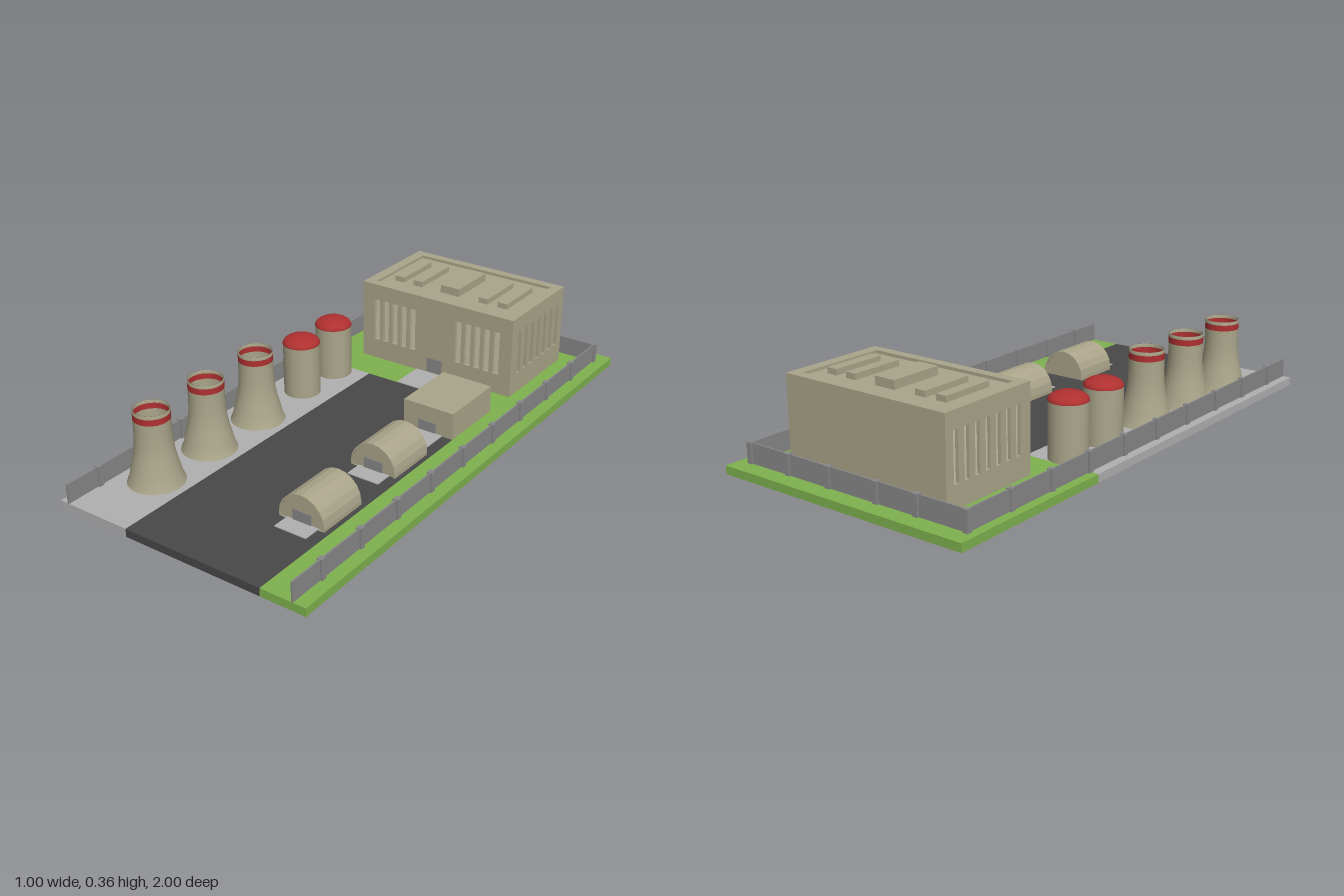
import * as THREE from 'three';

const mat = (color, extra = {}) => new THREE.MeshStandardMaterial({ color, ...extra });
const grass = mat(0x7fb24f), concrete = mat(0xb0b0b0), asphalt = mat(0x484848);
const wall = mat(0xaaa58a), pane = mat(0xc8c5a5), grey = mat(0x888888);
const wallFlat = mat(0xaaa58a, { flatShading: true });
const shell = mat(0xaaa58a, { side: THREE.DoubleSide });
const redShell = mat(0xb03030, { side: THREE.DoubleSide });
const GROUND = 0.03;

function add(parent, name, geometry, material, x = 0, y = 0, z = 0) {
  const mesh = new THREE.Mesh(geometry, material);
  mesh.name = name;
  mesh.position.set(x, y, z);
  parent.add(mesh);
  return mesh;
}

// Box given by its limits on each axis
function box(parent, name, material, x0, x1, y0, y1, z0, z1) {
  return add(parent, name, new THREE.BoxGeometry(x1 - x0, y1 - y0, z1 - z0), material,
    (x0 + x1) / 2, (y0 + y1) / 2, (z0 + z1) / 2);
}

function group(parent, name, x = 0, y = 0, z = 0) {
  const g = new THREE.Group();
  g.name = name;
  g.position.set(x, y, z);
  parent.add(g);
  return g;
}

function rect(Type, x0, x1, y0, y1) {
  return new Type([[x0, y0], [x1, y0], [x1, y1], [x0, y1]].map(p => new THREE.Vector2(...p)));
}

const extrude = (shape, depth) => new THREE.ExtrudeGeometry(shape, { depth, bevelEnabled: false });

// Wall facing +z with tall window openings and panes set back in them
function windowWall(parent, name, halfWidth, centres, halfWindow) {
  const g = group(parent, name);
  const shape = rect(THREE.Shape, -halfWidth, halfWidth, GROUND, 0.33);
  for (const c of centres) {
    shape.holes.push(rect(THREE.Path, c - halfWindow, c + halfWindow, 0.11, 0.28));
    box(g, 'windowPane', pane, c - halfWindow, c + halfWindow, 0.11, 0.28, -0.005, 0.003);
  }
  add(g, 'wallPanel', extrude(shape, 0.015), wall);
  return g;
}

function mainBuilding(parent) {
  const g = group(parent, 'mainBuilding', 0, 0, -0.67);
  box(g, 'core', wall, -0.318, 0.318, GROUND, 0.33, -0.2, 0.185);

  const frontWindows = [0.103, 0.144, 0.185, 0.226, 0.268].flatMap(x => [-x, x]);
  windowWall(g, 'frontWall', 0.333, frontWindows, 0.013).position.z = 0.185;
  const sideWindows = Array.from({ length: 7 }, (_, i) => (i - 3) * 0.049);
  for (const s of [-1, 1]) {
    const side = windowWall(g, 'sideWall', 0.1925, sideWindows, 0.011);
    side.position.set(s * 0.318, 0, -0.0075);
    side.rotation.y = s * Math.PI / 2;
  }

  // Parapet and raised roof lights
  const rim = rect(THREE.Shape, -0.333, 0.333, -0.2, 0.2);
  rim.holes.push(rect(THREE.Path, -0.293, 0.293, -0.165, 0.165));
  add(g, 'parapet', extrude(rim, 0.012), wall, 0, 0.33, 0).rotation.x = -Math.PI / 2;
  box(g, 'roofDeck', wall, -0.32, 0.32, 0.325, 0.331, -0.19, 0.19);
  for (const x of [-0.23, -0.147, 0.147, 0.23]) {
    box(g, 'roofLight', wall, x - 0.02, x + 0.02, 0.33, 0.352, -0.1, 0.1);
  }
  box(g, 'centreRoofLight', wall, -0.041, 0.041, 0.33, 0.362, -0.1, 0.1);
  box(g, 'door', grey, -0.034, 0.034, 0.038, 0.095, 0.19, 0.202);
}

// Open cooling tower with a red band near the rim
function coolingTower(parent, z) {
  const g = group(parent, 'coolingTower', -0.335, 0, z);
  const lathe = pts => new THREE.LatheGeometry(pts.map(p => new THREE.Vector2(...p)), 24);
  add(g, 'towerBody', lathe([[0.1, 0.03], [0.091, 0.05], [0.084, 0.08], [0.075, 0.115],
    [0.068, 0.15], [0.064, 0.19], [0.063, 0.23], [0.063, 0.266]]), shell);
  add(g, 'redBand', lathe([[0.063, 0.266], [0.063, 0.288]]), redShell);
  add(g, 'towerRim', lathe([[0.063, 0.288], [0.063, 0.3], [0.06, 0.3], [0.06, 0.288]]), shell);
}

function tank(parent, z) {
  const g = group(parent, 'storageTank', -0.335, 0, z);
  add(g, 'tankBody', new THREE.CylinderGeometry(0.069, 0.069, 0.202, 24), wall, 0, 0.131, 0);
  const dome = new THREE.SphereGeometry(0.07, 24, 8, 0, Math.PI * 2, 0, Math.PI / 2);
  dome.scale(1, 0.46, 1);
  add(g, 'tankDome', dome, mat(0xb03030), 0, 0.23, 0);
}

// Outline of a hangar: short upright sides below a round arch
function archPoints(r, spring, sides) {
  const pts = [new THREE.Vector2(r, 0)];
  for (let i = 0; i <= sides; i++) {
    const a = i / sides * Math.PI;
    pts.push(new THREE.Vector2(r * Math.cos(a), spring + r * Math.sin(a)));
  }
  pts.push(new THREE.Vector2(-r, 0));
  return pts;
}

function hangar(parent, z) {
  const g = group(parent, 'hangar', 0.222, GROUND, z);
  const roof = new THREE.Shape(archPoints(0.09, 0.014, 10));
  roof.holes.push(new THREE.Path(archPoints(0.083, 0.014, 10).reverse()));
  add(g, 'archedRoof', extrude(roof, 0.2), wallFlat, 0, 0, -0.1);
  add(g, 'endWalls', extrude(new THREE.Shape(archPoints(0.084, 0.014, 10)), 0.19), wallFlat, 0, 0, -0.095);
  box(g, 'door', grey, -0.037, 0.037, 0, 0.042, 0.09, 0.098);
  box(g, 'apron', concrete, -0.06, 0.065, 0, 0.003, 0.09, 0.162);
}

function fence(parent) {
  const g = group(parent, 'fence');
  const [left, right, back] = [0.45, -0.465, -0.933];
  const post = (x, z) => box(g, 'fencePost', grey, x - 0.01, x + 0.01, GROUND, 0.104, z - 0.01, z + 0.01);
  for (const x of [left, right]) {
    box(g, 'sideFence', grey, x - 0.003, x + 0.003, GROUND, 0.102, back, 1);
    for (let i = 0; i < 10; i++) post(x, back + i * 0.199);
  }
  box(g, 'backFence', grey, right, left, GROUND, 0.102, back - 0.003, back + 0.003);
  for (const x of [-0.273, -0.11, 0.093, 0.273]) post(x, back);
}

export function createModel() {
  const model = new THREE.Group();
  model.name = 'powerPlant';

  // Ground slabs
  box(model, 'rearLawn', grass, -0.5, 0.5, 0, GROUND, -1, -0.333);
  box(model, 'sideLawn', grass, 0.33, 0.5, 0, GROUND, -0.333, 1);
  box(model, 'concreteYard', concrete, -0.5, -0.21, 0, GROUND, -0.333, 1);
  box(model, 'asphaltRoad', asphalt, -0.21, 0.33, 0, GROUND, -0.333, 1);
  box(model, 'entrancePath', concrete, -0.08, 0.08, GROUND - 0.005, GROUND + 0.003, -0.472, -0.333);

  mainBuilding(model);
  [0.195, 0.46, 0.725].forEach(z => coolingTower(model, z));
  [-0.27, -0.07].forEach(z => tank(model, z));
  [0.167, 0.56].forEach(z => hangar(model, z));

  // Square workshop with its apron
  const shop = group(model, 'workshop');
  box(shop, 'workshopBody', wall, 0.125, 0.33, GROUND, 0.132, -0.333, -0.07);
  box(shop, 'workshopDoor', grey, 0.187, 0.26, GROUND, 0.072, -0.075, -0.068);
  box(shop, 'apron', concrete, 0.162, 0.287, GROUND, GROUND + 0.003, -0.07, 0.067);

  fence(model);
  return model;
}
